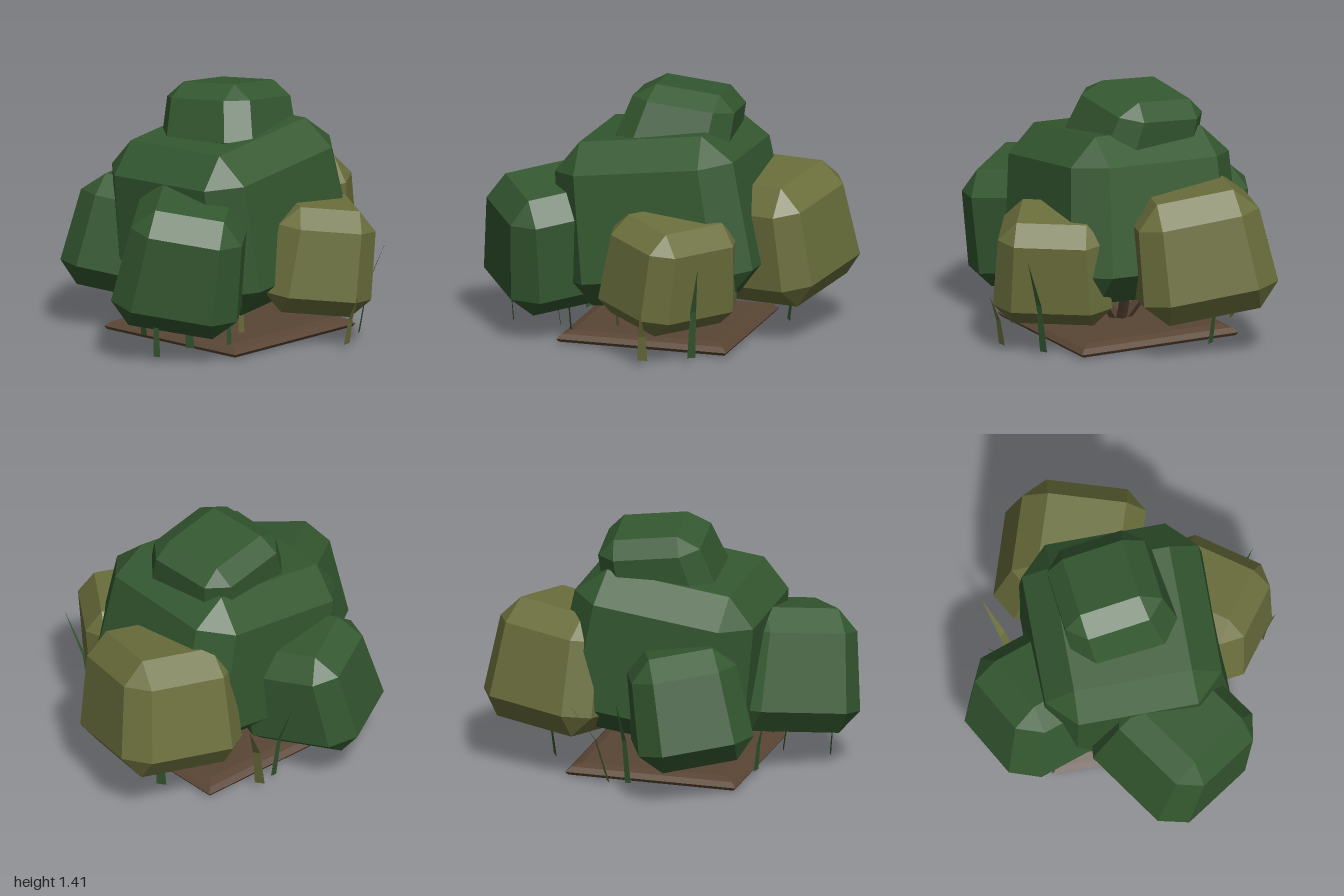
import * as THREE from 'three';
import { ConvexGeometry } from 'three/addons/geometries/ConvexGeometry.js';

const V = (x, y, z) => new THREE.Vector3(x, y, z);
const deg = THREE.MathUtils.degToRad;

// Chamfered, tapered and tilted block, fitted into the box lo..hi
function blobGeometry({ half, chamfer, taper, turn, lo, hi }) {
  const rotation = new THREE.Euler(deg(turn[0]), deg(turn[1]), deg(turn[2]), 'YXZ');
  const points = [];
  for (const sx of [-1, 1]) for (const sy of [-1, 1]) for (const sz of [-1, 1]) {
    for (let axis = 0; axis < 3; axis++) {
      const [x, y, z] = [sx, sy, sz].map((s, i) => s * (half[i] - (i === axis ? 0 : chamfer)));
      const k = 1 + (taper - 1) * (y / half[1] + 1) / 2;
      points.push(V(x * k, y, z * k).applyEuler(rotation));
    }
  }
  const box = new THREE.Box3().setFromPoints(points);
  const size = box.getSize(V(0, 0, 0));
  const min = V(...lo);
  const target = V(...hi).sub(min);
  for (const p of points) p.sub(box.min).divide(size).multiply(target).add(min);
  return new ConvexGeometry(points);
}

// Flat pointed grass blade, bending towards its tip
function bladeGeometry(base, tip, width) {
  const lean = tip.clone().sub(base);
  const side = V(lean.z, 0, -lean.x).normalize().multiplyScalar(width / 2);
  const mid = base.clone().lerp(tip, 0.5);
  mid.x -= lean.x * 0.2;
  mid.z -= lean.z * 0.2;
  const a = base.clone().sub(side), b = base.clone().add(side);
  const c = mid.clone().addScaledVector(side, 0.75), d = mid.clone().addScaledVector(side, -0.75);
  const g = new THREE.BufferGeometry().setFromPoints([a, b, c, a, c, d, d, c, tip]);
  g.computeVertexNormals();
  return g;
}

export function createModel() {
  const group = new THREE.Group();
  const material = (name, color, extra = {}) => {
    const m = new THREE.MeshStandardMaterial({ color, flatShading: true, ...extra });
    m.name = name;
    return m;
  };
  const green = material('leaf green', 0x345830, { side: THREE.DoubleSide });
  const olive = material('olive leaf', 0x6b6f3c, { side: THREE.DoubleSide });
  const soil = material('soil brown', 0x594534);
  const bark = material('bark brown', 0x5c4838);
  const add = (name, geometry, mat) => {
    const mesh = new THREE.Mesh(geometry, mat);
    mesh.name = name;
    group.add(mesh);
    return mesh;
  };

  // Foliage clumps
  add('mainFoliage', blobGeometry({
    half: [0.53, 0.47, 0.5], chamfer: 0.16, taper: 0.9, turn: [-2, 0, 8],
    lo: [-0.55, 0.18, -0.5], hi: [0.6, 1.2, 0.56] }), green);
  add('topFoliage', blobGeometry({
    half: [0.31, 0.26, 0.3], chamfer: 0.11, taper: 0.85, turn: [-8, 7, -10],
    lo: [-0.29, 0.95, -0.36], hi: [0.4, 1.41, 0.31] }), green);
  add('rightFoliage', blobGeometry({
    half: [0.39, 0.36, 0.365], chamfer: 0.13, taper: 0.82, turn: [9, 37, 8],
    lo: [-1, 0.14, -0.25], hi: [-0.13, 0.93, 0.64] }), green);
  add('backFoliage', blobGeometry({
    half: [0.35, 0.36, 0.37], chamfer: 0.13, taper: 0.86, turn: [8, 24, -8],
    lo: [-0.62, 0.14, -0.9], hi: [0.17, 0.86, -0.05] }), green);
  add('leftFoliage', blobGeometry({
    half: [0.39, 0.34, 0.38], chamfer: 0.13, taper: 0.84, turn: [8, -16, 3],
    lo: [0.19, 0.19, -0.62], hi: [1, 0.95, 0.27] }), olive);
  add('frontFoliage', blobGeometry({
    half: [0.3, 0.31, 0.33], chamfer: 0.11, taper: 0.86, turn: [0, -35, -8],
    lo: [-0.23, 0.17, 0.12], hi: [0.53, 0.8, 0.87] }), olive);

  // Square soil slab with a softly bevelled top: half widths and heights
  const layers = [[0.475, 0.488, 0.012, 0.03], [0.488, 0.46, 0.03, 0.055], [0.46, 0.41, 0.055, 0.07]];
  for (const [bottom, top, y0, y1] of layers) {
    const g = new THREE.CylinderGeometry(top * Math.SQRT2, bottom * Math.SQRT2, y1 - y0, 4);
    g.rotateY(Math.PI / 4).translate(0, (y0 + y1) / 2, 0.03);
    add('soilSlab', g, soil);
  }

  // Branches fanning out from one root
  const root = V(0, 0.02, 0.02);
  for (let i = 0; i < 6; i++) {
    const a = i * Math.PI / 3 + 0.3;
    const dir = V(Math.cos(a) * 0.28, 0.4, Math.sin(a) * 0.28);
    const g = new THREE.CylinderGeometry(0.028, 0.032, dir.length(), 5);
    g.translate(0, dir.length() / 2, 0);
    const branch = add('branch', g, bark);
    branch.position.copy(root);
    branch.quaternion.setFromUnitVectors(V(0, 1, 0), dir.normalize());
  }
  add('rootEnd', new THREE.CylinderGeometry(0.035, 0.03, 0.03, 6).translate(0, 0.015, 0.02), bark);

  // Grass blades: base x, z, tip x, y, z, width, material
  const blades = [
    [0.1, 0.81, 0.11, 0.32, 0.89, 0.055, olive],
    [0.34, 0.68, 0.42, 0.58, 0.82, 0.045, green],
    [0.62, -0.21, 0.68, 0.36, -0.25, 0.055, green],
    [-0.2, 0.3, -0.23, 0.36, 0.33, 0.035, olive],
    [-0.43, 0.42, -0.47, 0.36, 0.45, 0.03, green],
    [-0.55, 0.24, -0.62, 0.36, 0.27, 0.05, green],
    [-0.82, 0.24, -0.86, 0.36, 0.26, 0.04, green],
    [0.21, -0.56, 0.41, 0.53, -0.7, 0.055, olive],
    [0.1, -0.55, 0.12, 0.55, -0.72, 0.035, green],
    [-0.51, -0.14, -0.56, 0.34, -0.15, 0.055, green],
  ];
  for (const [x, z, tx, ty, tz, w, mat] of blades) {
    add('grassBlade', bladeGeometry(V(x, 0.035, z), V(tx, ty, tz), w), mat);
  }
  return group;
}
